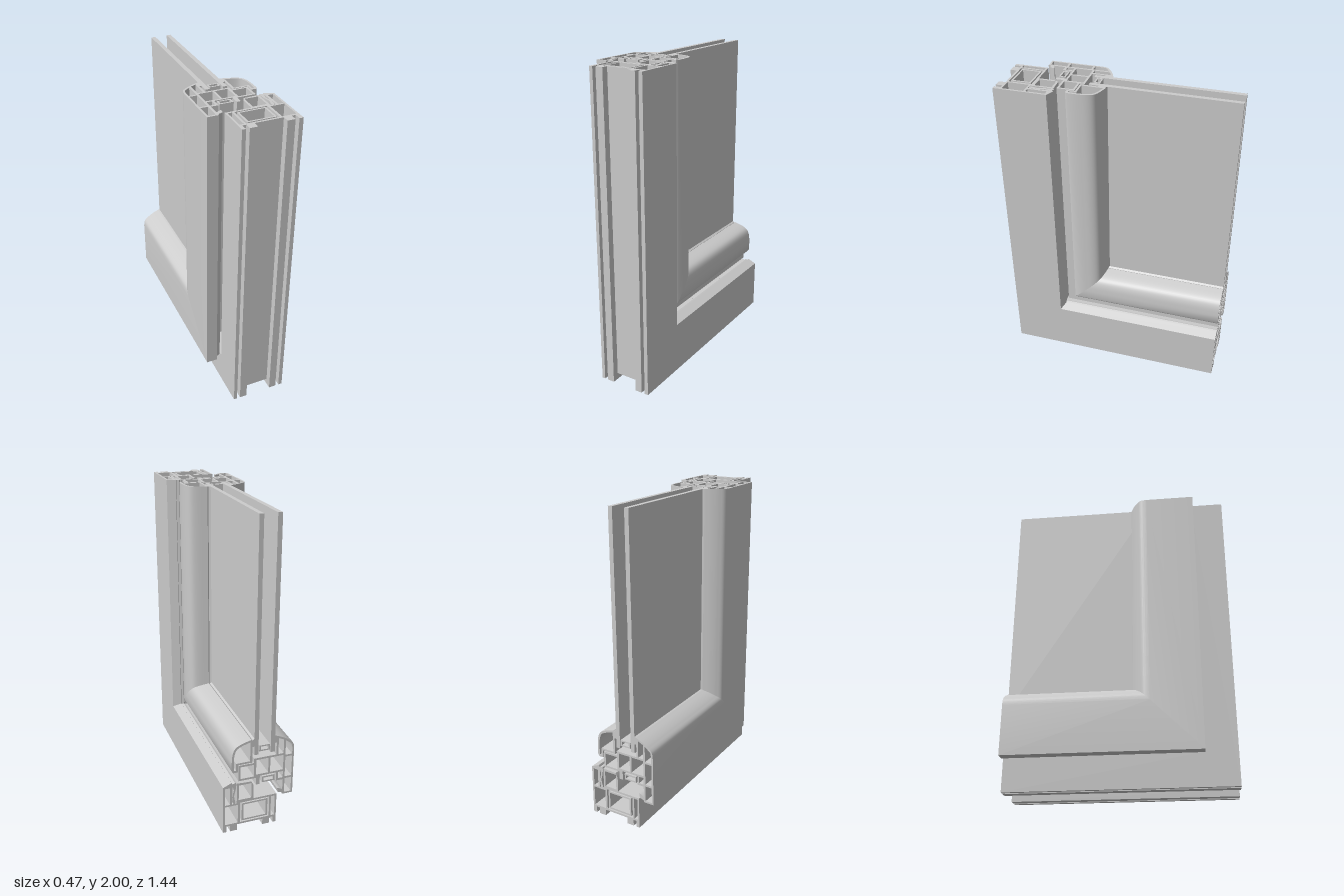
import * as THREE from 'three';
import { toCreasedNormals } from 'three/addons/utils/BufferGeometryUtils.js';

const HALF = 0.72; // half the depth of the corner sample
const TOP = 2;
const grey = new THREE.MeshStandardMaterial({ color: 0xcccccc, side: THREE.DoubleSide });

const pts = (list) => list.map(([x, d]) => new THREE.Vector2(x, d));
const rect = (x0, d0, x1, d1) => [[x0, d0], [x1, d0], [x1, d1], [x0, d1]];

// Smooth curve through a few points, returned as a point list
const curve = (list, n = 14) =>
  new THREE.SplineCurve(pts(list)).getPoints(n).map((p) => [p.x, p.y]);

// Sweeps a profile (x, distance from outer edge) along both mitred legs
function mitredPart(name, outline, holes = []) {
  const shape = new THREE.Shape(pts(outline));
  holes.forEach((h) => shape.holes.push(new THREE.Path(pts(h))));
  const group = new THREE.Group();
  group.name = name;
  for (const upright of [true, false]) {
    const geo = new THREE.ExtrudeGeometry(shape, { depth: 1, bevelEnabled: false });
    const p = geo.attributes.position;
    for (let i = 0; i < p.count; i++) {
      const x = p.getX(i), d = p.getY(i), end = p.getZ(i) > 0.5;
      if (upright) p.setXYZ(i, x, end ? TOP : d, HALF - d);
      else p.setXYZ(i, x, d, end ? HALF - d : -HALF);
    }
    const mesh = new THREE.Mesh(toCreasedNormals(geo, 0.6), grey);
    mesh.name = name + (upright ? 'Upright' : 'Sill');
    group.add(mesh);
  }
  return group;
}

function box(name, x0, x1, y0, y1, z0, z1) {
  const mesh = new THREE.Mesh(new THREE.BoxGeometry(x1 - x0, y1 - y0, z1 - z0), grey);
  mesh.position.set((x0 + x1) / 2, (y0 + y1) / 2, (z0 + z1) / 2);
  mesh.name = name;
  return mesh;
}

export function createModel() {
  const model = new THREE.Group();
  model.name = 'windowCornerSection';

  // Outer frame: feet, chambers, raised middle step and front flange
  model.add(mitredPart('outerFrame', [
    [-0.127, 0], [-0.105, 0], [-0.105, 0.042], [-0.083, 0.042], [-0.083, 0], [-0.035, 0],
    [-0.035, 0.042], [0.135, 0.042], [0.135, 0], [0.182, 0], [0.182, 0.042], [0.205, 0.042],
    [0.205, 0], [0.23, 0], [0.23, 0.333], [0.175, 0.358], [0.168, 0.345], [0.172, 0.2],
    [0.14, 0.2], [0.14, 0.345], [0.045, 0.34], [0.03, 0.31], [0.03, 0.213], [-0.127, 0.213],
  ], [
    rect(-0.115, 0.055, -0.09, 0.2),
    rect(-0.078, 0.055, 0.118, 0.2),
    rect(0.132, 0.055, 0.217, 0.188),
    rect(0.185, 0.2, 0.217, 0.322),
    rect(0.044, 0.222, 0.127, 0.328),
  ]));

  // Steel box inside the main frame chamber
  model.add(mitredPart('frameReinforcement', rect(-0.066, 0.064, 0.106, 0.192),
    [rect(-0.055, 0.075, 0.095, 0.181)]));

  // Opening sash with rounded outer lip
  model.add(mitredPart('sash', [
    [-0.235, 0.2], [-0.165, 0.2], [-0.165, 0.31], [-0.12, 0.31], [-0.12, 0.37],
    [-0.01, 0.37], [-0.01, 0.31], [0.015, 0.31], [0.015, 0.36], [0.13, 0.36],
    [0.13, 0.47], [0.03, 0.47], [0.03, 0.5], [-0.117, 0.5],
    ...curve([[-0.117, 0.632], [-0.16, 0.613], [-0.2, 0.588], [-0.228, 0.56], [-0.235, 0.52]]),
  ], [
    rect(-0.223, 0.212, -0.178, 0.315),
    rect(-0.223, 0.328, -0.178, 0.472),
    rect(-0.165, 0.325, -0.132, 0.37),
    rect(-0.165, 0.383, -0.078, 0.487),
    rect(-0.065, 0.383, 0.015, 0.487),
    rect(0.029, 0.373, 0.117, 0.457),
    [[-0.223, 0.485], [-0.178, 0.485], [-0.178, 0.588], [-0.216, 0.56], [-0.223, 0.53]],
    [[-0.165, 0.5], [-0.13, 0.5], [-0.13, 0.613], [-0.165, 0.597]],
  ]));

  // Fitting strip in the sash groove
  model.add(mitredPart('fittingStrip', rect(-0.11, 0.318, -0.025, 0.36),
    [rect(-0.1, 0.328, -0.035, 0.35)]));

  // Rounded glazing bead
  model.add(mitredPart('glazingBead', [
    [0.042, 0.475], [0.135, 0.475], [0.135, 0.425], [0.165, 0.425], [0.175, 0.44],
    ...curve([[0.175, 0.5], [0.17, 0.555], [0.152, 0.595], [0.115, 0.617], [0.05, 0.636]]),
    [0.042, 0.63],
  ], [[
    [0.056, 0.488], [0.147, 0.488], [0.147, 0.44], [0.16, 0.44],
    ...curve([[0.162, 0.5], [0.157, 0.55], [0.142, 0.585], [0.11, 0.604], [0.056, 0.62]]),
  ]]));

  // Seals
  const seals = [
    ['outerGlassSeal', [[-0.117, 0.585], [-0.105, 0.585], [-0.105, 0.635], [-0.117, 0.632]]],
    ['innerGlassSeal', [[0.03, 0.585], [0.042, 0.585], [0.042, 0.632], [0.03, 0.64]]],
    ['sashSeal', [[-0.165, 0.212], [-0.135, 0.222], [-0.13, 0.25], [-0.14, 0.25], [-0.165, 0.235]]],
    ['frameSeal', curve([[0.17, 0.345], [0.145, 0.35], [0.148, 0.3], [0.158, 0.255], [0.148, 0.205],
      [0.164, 0.205], [0.17, 0.255], [0.16, 0.3], [0.168, 0.33]], 24)],
  ];
  seals.forEach(([name, outline]) => model.add(mitredPart(name, outline)));

  // Double glazing with hollow spacer
  model.add(box('outerPane', -0.105, -0.077, 0.525, TOP, -HALF, HALF - 0.525));
  model.add(box('innerPane', 0.003, 0.03, 0.525, TOP, -HALF, HALF - 0.525));
  model.add(mitredPart('glassSpacer', rect(-0.072, 0.545, -0.002, 0.585),
    [rect(-0.062, 0.554, -0.012, 0.576)]));

  return model;
}
